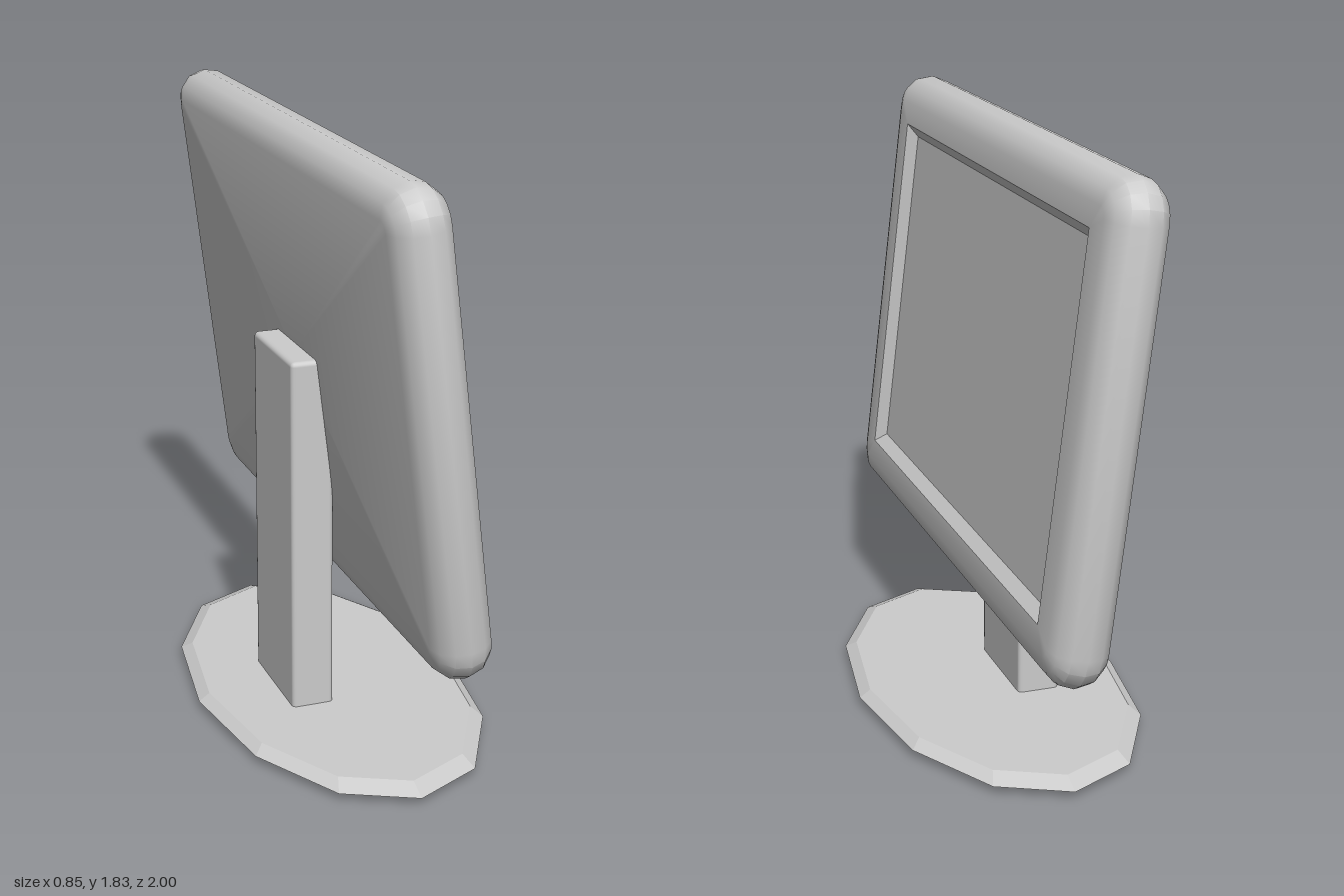
import * as THREE from 'three';
import { toCreasedNormals } from 'three/addons/utils/BufferGeometryUtils.js';
import { RoundedBoxGeometry } from 'three/addons/geometries/RoundedBoxGeometry.js';

const material = new THREE.MeshStandardMaterial({ color: 0xcccccc });
const flatMaterial = new THREE.MeshStandardMaterial({ color: 0xcccccc, flatShading: true });

// Points of a rounded rectangle in the y-z plane at depth x
function ringPoints(x, halfZ, halfY, radius, steps = 4) {
  const points = [];
  for (let corner = 0; corner < 4; corner++) {
    const sz = corner === 0 || corner === 3 ? 1 : -1;
    const sy = corner < 2 ? 1 : -1;
    for (let k = 0; k <= steps; k++) {
      const a = (corner + k / steps) * Math.PI / 2;
      points.push([
        x,
        sy * (halfY - radius) + radius * Math.sin(a),
        sz * (halfZ - radius) + radius * Math.cos(a),
      ]);
    }
  }
  return points;
}

// Skin a list of equal-sized closed rings, ordered from back to front
function loft(rings) {
  const n = rings[0].length;
  const index = [];
  for (let i = 0; i < rings.length - 1; i++) {
    for (let j = 0; j < n; j++) {
      const a = i * n + j, b = i * n + (j + 1) % n;
      index.push(a, a + n, b, b, a + n, b + n);
    }
  }
  const geometry = new THREE.BufferGeometry();
  geometry.setAttribute('position', new THREE.Float32BufferAttribute(rings.flat(2), 3));
  geometry.setIndex(index);
  return toCreasedNormals(geometry, 0.6);
}

// Display housing with full-round rim and a bevelled screen recess on +x
function createDisplay() {
  const halfZ = 1, halfY = 0.707, r = 0.088, cornerRadius = 0.118, arcSteps = 6;
  const rings = [ringPoints(-r, 0, 0, 0)];
  for (let i = 0; i <= arcSteps; i++) {
    const a = Math.PI * i / arcSteps;
    const inset = r * (1 - Math.sin(a));
    rings.push(ringPoints(-r * Math.cos(a), halfZ - inset, halfY - inset, cornerRadius - inset));
  }
  rings.push(ringPoints(r, 0.825, 0.55, 0));
  rings.push(ringPoints(r - 0.03, 0.79, 0.515, 0));
  rings.push(ringPoints(r - 0.03, 0, 0, 0));

  const display = new THREE.Mesh(loft(rings), material);
  display.name = 'display';
  display.position.set(-0.0075, 1.133, 0);
  display.rotation.z = 0.121;
  return display;
}

// Upright post behind the display
function createStem() {
  const bottom = 0.02, top = 1.16;
  const stem = new THREE.Mesh(new RoundedBoxGeometry(0.132, top - bottom, 0.355, 2, 0.015), material);
  stem.name = 'stem';
  stem.position.set(-0.111, (top + bottom) / 2, 0.04);
  return stem;
}

// Twelve-sided oval foot with a pointed edge
function createBase() {
  const profile = [[0, 0], [0.92, 0], [1, 0.024], [0.92, 0.048], [0, 0.048]]
    .map(([x, y]) => new THREE.Vector2(x, y));
  const geometry = new THREE.LatheGeometry(profile, 12);
  geometry.scale(0.425, 1, 0.787);
  const base = new THREE.Mesh(geometry, flatMaterial);
  base.name = 'base';
  base.position.z = 0.035;
  return base;
}

export function createModel() {
  const monitor = new THREE.Group();
  monitor.name = 'monitor';
  monitor.add(createBase(), createStem(), createDisplay());
  return monitor;
}
